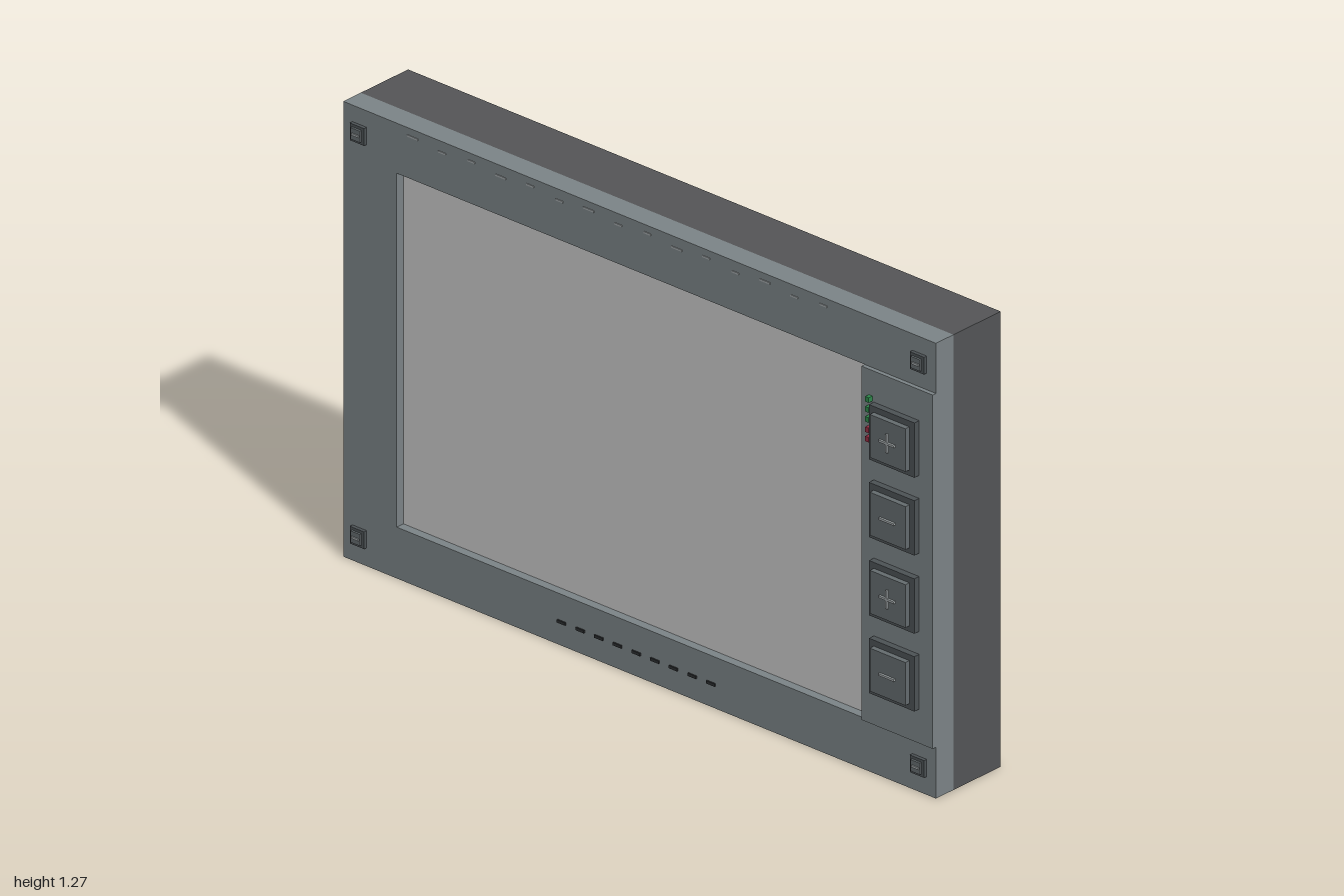
import * as THREE from 'three';

const mat = (color) => new THREE.MeshStandardMaterial({ color });

export function createModel() {
  const model = new THREE.Group();
  const m = {
    body: mat(0x555658), bezel: mat(0x7d8588), screen: mat(0xcccccc), dark: mat(0x4d5356),
    cap: mat(0x666d70), mark: mat(0xa0a6a8), slot: mat(0x2c2e30), green: mat(0x2f8a4c), red: mat(0x9a2f45),
  };

  // Box from centre x, y and a z range
  function box(parent, name, material, x, y, w, h, z0, z1) {
    const mesh = new THREE.Mesh(new THREE.BoxGeometry(w, h, z1 - z0), material);
    mesh.position.set(x, y, (z0 + z1) / 2);
    mesh.name = name;
    parent.add(mesh);
    return mesh;
  }
  function group(name) {
    const g = new THREE.Group();
    g.name = name;
    model.add(g);
    return g;
  }

  // Rear housing
  box(model, 'housing', m.body, 0, 0.635, 2, 1.27, -0.145, 0.03);

  // Front bezel with the display opening
  const frame = new THREE.Shape([[-1, 0], [1, 0], [1, 1.27], [-1, 1.27]].map((p) => new THREE.Vector2(...p)));
  frame.holes.push(new THREE.Path([[-0.82, 0.143], [-0.82, 1.13], [0.76, 1.13], [0.76, 0.143]].map((p) => new THREE.Vector2(...p))));
  const bezel = new THREE.Mesh(new THREE.ExtrudeGeometry(frame, { depth: 0.065, bevelEnabled: false }), m.bezel);
  bezel.position.z = 0.03;
  bezel.name = 'bezel';
  model.add(bezel);

  // Recessed display
  box(model, 'screen', m.screen, -0.03, 0.6365, 1.58, 0.987, 0.03, 0.07);

  // Raised keypad plate
  box(model, 'keypadPlate', m.bezel, 0.88, 0.6365, 0.24, 0.987, 0.095, 0.107);

  // Stepped keys with alternating plus and minus marks
  [0.967, 0.75, 0.532, 0.315].forEach((y, i) => {
    const key = group('key');
    box(key, 'keyBase', m.dark, 0.878, y, 0.153, 0.153, 0.107, 0.125);
    box(key, 'keyCap', m.cap, 0.878, y, 0.12, 0.12, 0.125, 0.14);
    box(key, 'markBar', m.mark, 0.878, y, 0.052, 0.006, 0.14, 0.146);
    if (i % 2 === 0) {
      for (const s of [-1, 1]) box(key, 'markStem', m.mark, 0.878, y + s * 0.0145, 0.006, 0.023, 0.14, 0.146);
    }
  });

  // Status lamps beside the top key
  [1.052, 1.024, 0.996, 0.967, 0.941].forEach((y, i) => {
    box(model, 'statusLamp', i < 3 ? m.green : m.red, 0.791, y, 0.012, 0.014, 0.107, 0.121);
  });

  // Corner fasteners
  for (const x of [-0.945, 0.945]) {
    for (const y of [0.075, 1.2]) {
      const fastener = group('cornerFastener');
      box(fastener, 'fastenerBase', m.dark, x, y, 0.048, 0.048, 0.095, 0.105);
      box(fastener, 'fastenerHead', m.cap, x, y, 0.032, 0.032, 0.105, 0.111);
      box(fastener, 'fastenerBar', m.mark, x, y, 0.024, 0.006, 0.111, 0.114);
    }
  }

  // Row of dark vents along the bottom
  for (let i = 0; i < 9; i++) {
    box(model, 'lowerVent', m.slot, -0.262 + i * 0.063, 0.066, 0.028, 0.008, 0.09, 0.099);
  }

  // Staggered light ticks along the top
  for (let i = 0; i < 15; i++) {
    box(model, 'upperTick', m.mark, -0.765 + i * 0.099, i % 2 ? 1.239 : 1.248, i % 3 ? 0.024 : 0.036, 0.005, 0.09, 0.097);
  }

  return model;
}
